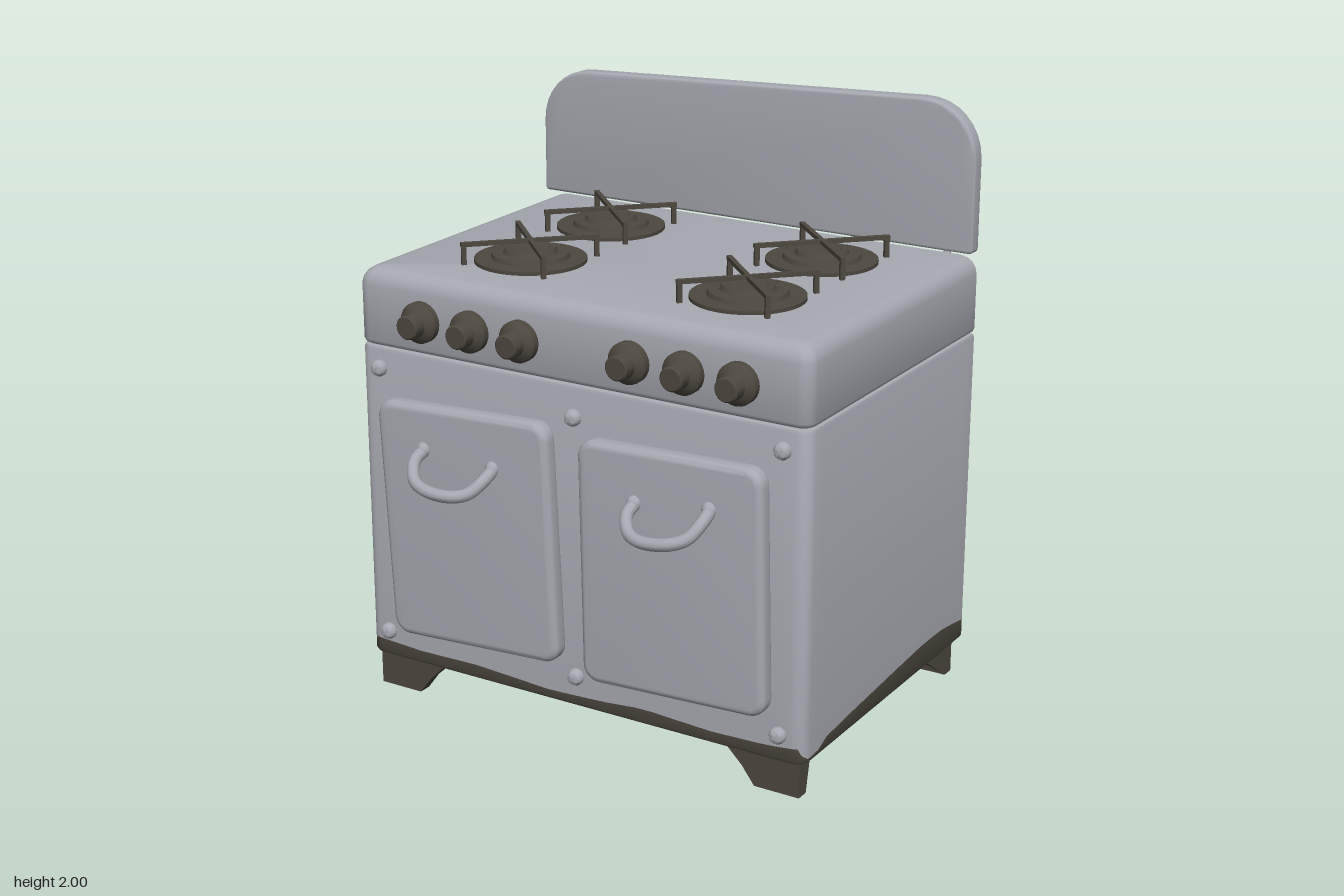
import * as THREE from 'three';
import { toCreasedNormals } from 'three/addons/utils/BufferGeometryUtils.js';

const HALF = 0.835, FRONT = 0.52, BACK = -0.625;

const enamel = new THREE.MeshStandardMaterial({ color: 0xa6a8b0 });
enamel.name = 'greyEnamel';
const iron = new THREE.MeshStandardMaterial({ color: 0x4d483f });
iron.name = 'darkIron';

function add(parent, name, geometry, material, x = 0, y = 0, z = 0) {
  const mesh = new THREE.Mesh(geometry, material);
  mesh.name = name;
  mesh.position.set(x, y, z);
  parent.add(mesh);
  return mesh;
}

// Piecewise linear height from [position, height] keys in rising order
function interp(keys, t) {
  if (t <= keys[0][0]) return keys[0][1];
  for (let i = 1; i < keys.length; i++) {
    const [a, ya] = keys[i - 1], [b, yb] = keys[i];
    if (t <= b) return ya + (yb - ya) * (t - a) / (b - a);
  }
  return keys[keys.length - 1][1];
}

// Plan outline with rounded front corners and a flat, square back
function outline(inset) {
  const r = 0.045 - inset * 0.5, w = HALF - inset, f = FRONT - inset, pts = [];
  const sides = 20, fronts = 28, arcs = 6;
  for (let i = 0; i < sides; i++) pts.push([-w, BACK + (f - r - BACK) * i / sides]);
  for (let i = 0; i < arcs; i++) {
    const a = Math.PI / 2 * i / arcs;
    pts.push([-w + r - r * Math.cos(a), f - r + r * Math.sin(a)]);
  }
  for (let i = 0; i <= fronts; i++) pts.push([(-w + r) + 2 * (w - r) * i / fronts, f]);
  return pts.concat(pts.slice(0, sides + arcs).reverse().map(([x, z]) => [-x, z]));
}

// Stack of outlines; each ring is [height or height rule, inset]
function loft(rings, capBottom, capTop) {
  const rows = rings.map(([y, inset]) => outline(inset).map(([x, z]) =>
    [x, typeof y === 'function' ? y(x, z) : y, z]));
  const n = rows[0].length, pos = [];
  const tri = (a, b, c) => pos.push(...a, ...b, ...c);
  for (let j = 0; j < rows.length - 1; j++) {
    for (let i = 0; i < n; i++) {
      const k = (i + 1) % n, lo = rows[j], hi = rows[j + 1];
      tri(lo[i], lo[k], hi[k]);
      tri(lo[i], hi[k], hi[i]);
    }
  }
  const first = rows[0], last = rows[rows.length - 1];
  for (let i = 0; i < n; i++) {
    const k = (i + 1) % n;
    if (capBottom) tri([0, first[0][1], 0], first[k], first[i]);
    if (capTop) tri([0, last[0][1], 0], last[i], last[k]);
  }
  const g = new THREE.BufferGeometry();
  g.setAttribute('position', new THREE.Float32BufferAttribute(pos, 3));
  return toCreasedNormals(g, 0.7);
}

// Polygon with each corner rounded by a quadratic curve
function roundedPolygon(corners, radii) {
  const v = corners.map(c => new THREE.Vector2(...c)), n = v.length, s = new THREE.Shape();
  v.forEach((p, i) => {
    const r = Array.isArray(radii) ? radii[i] : radii;
    const toward = q => p.clone().add(q.clone().sub(p).setLength(r));
    const a = toward(v[(i + n - 1) % n]), b = toward(v[(i + 1) % n]);
    const c1 = a.clone().lerp(p, 0.56), c2 = b.clone().lerp(p, 0.56);
    if (i === 0) s.moveTo(a.x, a.y); else s.lineTo(a.x, a.y);
    s.bezierCurveTo(c1.x, c1.y, c2.x, c2.y, b.x, b.y);
  });
  s.closePath();
  return s;
}

function slab(shape, thickness, bevel, segments = 4) {
  const g = new THREE.ExtrudeGeometry(shape, {
    depth: thickness - 2 * bevel, bevelEnabled: true, bevelThickness: bevel,
    bevelSize: bevel, bevelOffset: -bevel, bevelSegments: segments, curveSegments: 8
  });
  g.translate(0, 0, bevel);
  return toCreasedNormals(g, 0.7);
}

const lathe = (pts, segments = 32) =>
  toCreasedNormals(new THREE.LatheGeometry(pts.map(p => new THREE.Vector2(...p)), segments), 0.6);

// Grimy band: irregular upper edge on the front and sides, almost none on the back
const frontBand = [[-0.8, 0.178], [-0.62, 0.168], [-0.4, 0.172], [-0.1, 0.155], [0.1, 0.163],
  [0.25, 0.176], [0.5, 0.163], [0.7, 0.168], [0.8, 0.178]];
const sideBand = [[-0.62, 0.19], [-0.56, 0.2], [-0.45, 0.213], [-0.3, 0.213], [-0.1, 0.2], [0.2, 0.18],
  [0.38, 0.165], [0.43, 0.137], [0.49, 0.14], [0.52, 0.17]];
const bandTop = (x, z) => Math.abs(x) > HALF - 0.02 ? interp(sideBand, z) : interp(frontBand, x);

function makeBurner() {
  const burner = new THREE.Group();
  add(burner, 'burnerPlate', lathe([[0.185, 0], [0.185, 0.012], [0.13, 0.014], [0.125, 0.028],
    [0.09, 0.03], [0.082, 0.045], [0.065, 0.045], [0.058, 0.04], [0, 0.04]]), iron);
  // Crossed bars with a foot at each end
  for (let i = 0; i < 4; i++) {
    const arm = new THREE.Group();
    arm.name = 'grateArm';
    arm.rotation.y = Math.PI / 4 + i * Math.PI / 2;
    add(arm, 'grateBar', new THREE.BoxGeometry(0.23, 0.014, 0.016), iron, 0.115, 0.067, 0);
    add(arm, 'grateFoot', new THREE.BoxGeometry(0.016, 0.07, 0.016), iron, 0.22, 0.035, 0);
    burner.add(arm);
  }
  return burner;
}

function makeHandle(tilt) {
  const handle = new THREE.Group();
  const half = [[0.135, 0.045, -0.01], [0.136, 0.02, 0.05], [0.105, -0.02, 0.095], [0.05, -0.035, 0.12]];
  const pts = [...half, ...half.slice().reverse().map(([x, y, z]) => [-x, y, z])];
  const curve = new THREE.CatmullRomCurve3(pts.map(p => new THREE.Vector3(...p)));
  add(handle, 'handleBar', new THREE.TubeGeometry(curve, 32, 0.021, 10), enamel);
  for (const s of [-1, 1])
    add(handle, 'handleEnd', new THREE.SphereGeometry(0.026, 12, 8), enamel, s * 0.135, 0.045, 0);
  handle.rotation.z = tilt;
  return handle;
}

// Foot bracket that flares inward under the body
function makeLeg(sx, sz) {
  const profile = [[0.81, 0], [0.81, 0.125], [0.54, 0.125], [0.605, 0.06], [0.65, 0]];
  const shape = new THREE.Shape(profile.map(([x, y]) => new THREE.Vector2(sx * x, y)));
  const g = new THREE.ExtrudeGeometry(shape, { depth: 0.045, bevelEnabled: false });
  g.translate(0, 0, sz > 0 ? 0.45 : -0.602);
  const p = g.attributes.position, inner = sz > 0 ? 0.45 : -0.557;
  for (let i = 0; i < p.count; i++)
    if (Math.abs(p.getZ(i) - inner) < 0.001 && p.getY(i) > 0.1) p.setZ(i, inner - sz * 0.026);
  return toCreasedNormals(g, 0.3);
}

export function createModel() {
  const stove = new THREE.Group();
  stove.name = 'stove';

  // Cabinet, its dark base and the cooktop block
  add(stove, 'baseBand', loft([[0.12, 0.015], [0.124, 0.005], [0.134, 0], [bandTop, 0]], true, false), iron);
  add(stove, 'cabinet', loft([[bandTop, 0], [1.208, 0], [1.218, 0.004], [1.222, 0.014]], false, true), enamel);
  add(stove, 'cooktop', loft([[1.223, 0.014], [1.228, 0.005], [1.24, 0], [1.425, 0], [1.446, 0.005],
    [1.464, 0.017], [1.476, 0.034], [1.482, 0.058]], true, true), enamel);

  // Raised back panel with its slanted top
  add(stove, 'backPanel', slab(roundedPolygon(
    [[-HALF, 1.5], [HALF, 1.5], [HALF, 2.008], [-HALF, 1.938]], [0.012, 0.012, 0.2, 0.18]),
    0.058, 0.011), enamel, 0, 0, -0.633);
  for (const x of [-0.69, 0.695]) {
    const g = new THREE.TorusGeometry(0.06, 0.013, 10, 20, Math.PI);
    g.rotateZ(Math.PI / 2).rotateY(-Math.PI / 2);
    add(stove, 'hinge', g, enamel, x, 1.487, -0.637).material = enamel;
    for (const s of [-1, 1])
      add(stove, 'hingePin', new THREE.BoxGeometry(0.022, 0.022, 0.024), enamel, x, 1.487 + s * 0.06, -0.628);
  }

  // Crooked oven doors with handles
  const doors = [
    [[-0.692, 0.242], [-0.036, 0.276], [-0.073, 1.09], [-0.736, 1.06]],
    [[0.057, 0.248], [0.724, 0.276], [0.702, 1.089], [0.042, 1.069]]
  ];
  doors.forEach(corners =>
    add(stove, 'ovenDoor', slab(roundedPolygon(corners, 0.06), 0.07, 0.024, 5), enamel, 0, 0, 0.505));
  [[-0.412, 0.87, -0.05], [0.397, 0.872, 0.12]].forEach(([x, y, tilt]) => {
    const handle = makeHandle(tilt);
    handle.name = 'doorHandle';
    handle.position.set(x, y, 0.57);
    stove.add(handle);
  });

  // Bolts
  const boltGeo = lathe([[0.028, -0.005], [0.028, 0.012], [0.02, 0.026], [0.012, 0.03], [0, 0.031]], 16);
  boltGeo.rotateX(Math.PI / 2);
  for (const [x, y] of [[-0.752, 1.15], [0.748, 1.15], [0.003, 1.117], [-0.752, 0.215], [0.748, 0.215], [0.003, 0.23]])
    add(stove, 'bolt', boltGeo, enamel, x, y, FRONT);

  // Control knobs
  const knobGeo = lathe([[0.068, 0], [0.068, 0.026], [0.062, 0.034], [0.042, 0.046], [0.04, 0.085], [0.035, 0.09], [0, 0.09]], 24);
  knobGeo.rotateX(Math.PI / 2);
  for (const x of [-0.575, -0.383, -0.193, 0.213, 0.407, 0.597])
    add(stove, 'knob', knobGeo, iron, x, 1.335, 0.517);

  // Four burners
  for (const x of [-0.39, 0.424]) for (const z of [-0.315, 0.17]) {
    const burner = makeBurner();
    burner.name = 'burner';
    burner.position.set(x, 1.482, z);
    stove.add(burner);
  }

  // Legs
  for (const sx of [-1, 1]) for (const sz of [-1, 1])
    add(stove, sz > 0 ? 'frontLeg' : 'backLeg', makeLeg(sx, sz), iron);

  return stove;
}
